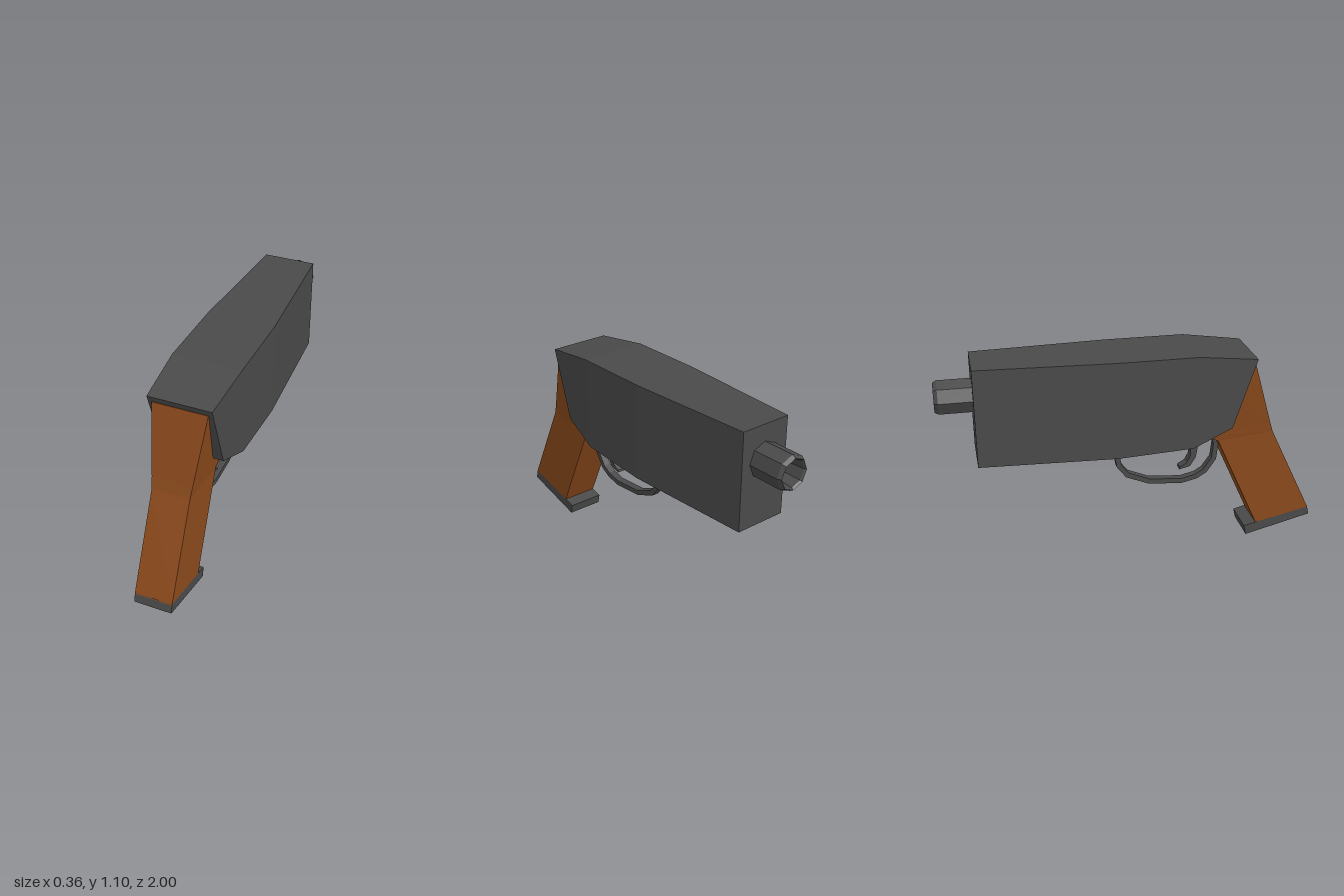
import * as THREE from 'three';

const paint = (color) => new THREE.MeshStandardMaterial({ color, flatShading: true });

// Four-sided loft; each section is [z, y of upper edge, z, y of lower edge, half width]
function loft(sections) {
  const rings = sections.map(([tz, ty, bz, by, w]) => [
    [w, ty, tz], [-w, ty, tz], [-w, by, bz], [w, by, bz],
  ]);
  const pos = [];
  const quad = (a, b, c, d) => pos.push(...a, ...b, ...c, ...a, ...c, ...d);
  for (let i = 0; i < rings.length - 1; i++) {
    for (let k = 0; k < 4; k++) {
      const n = (k + 1) % 4;
      quad(rings[i][k], rings[i + 1][k], rings[i + 1][n], rings[i][n]);
    }
  }
  quad(...rings[0]);
  quad(...[...rings[rings.length - 1]].reverse());
  const geo = new THREE.BufferGeometry();
  geo.setAttribute('position', new THREE.Float32BufferAttribute(pos, 3));
  geo.computeVertexNormals();
  return geo;
}

// Side profile of [z, y] points, extruded across x and centred
function plate(points, width) {
  const shape = new THREE.Shape(points.map(([z, y]) => new THREE.Vector2(z, y)));
  const geo = new THREE.ExtrudeGeometry(shape, { depth: width, bevelEnabled: false });
  return geo.translate(0, 0, -width / 2).rotateY(-Math.PI / 2);
}

// Outline of a band of even thickness along a path
function band(path, thickness) {
  const left = [], right = [];
  path.forEach(([z, y], i) => {
    const a = path[Math.max(i - 1, 0)], b = path[Math.min(i + 1, path.length - 1)];
    const len = Math.hypot(b[0] - a[0], b[1] - a[1]);
    const nz = -(b[1] - a[1]) / len * thickness / 2, ny = (b[0] - a[0]) / len * thickness / 2;
    left.push([z + nz, y + ny]);
    right.unshift([z - nz, y - ny]);
  });
  return [...left, ...right];
}

export function createModel() {
  const group = new THREE.Group();
  const metal = paint(0x4a4a4a), wood = paint(0x8b4a1c);
  const add = (name, geo, mat) => {
    const mesh = new THREE.Mesh(geo, mat);
    mesh.name = name;
    group.add(mesh);
    return mesh;
  };

  // Body, tapering to both ends
  add('body', loft([
    [0.63, 1.06, 0.51, 0.69, 0.165],
    [0.32, 1.1, 0.3, 0.6, 0.182],
    [-0.1, 1.1, -0.1, 0.58, 0.182],
    [-0.81, 1.1, -0.81, 0.58, 0.14],
  ]), metal);

  // Hollow eight-sided barrel with a chamfered muzzle
  const profile = [[0.092, 0.78], [0.092, 0.98], [0.08, 1.0], [0.072, 0.99], [0.06, 0.84], [0, 0.84]]
    .map(([r, y]) => new THREE.Vector2(r, y));
  const barrel = add('barrel', new THREE.LatheGeometry(profile, 8).rotateX(-Math.PI / 2), metal);
  barrel.position.y = 0.92;

  // Grip, flaring upwards into the body
  add('grip', loft([
    [0.99, 0.135, 0.69, 0.07, 0.1],
    [0.755, 0.62, 0.455, 0.59, 0.1],
    [0.735, 0.68, 0.38, 0.63, 0.106],
    [0.625, 1.03, 0.42, 0.95, 0.143],
  ]), wood);

  // Plate under the grip
  add('gripBase', loft([
    [1.0, 0.09, 0.637, 0.0, 0.1],
    [0.988, 0.14, 0.625, 0.054, 0.1],
  ]), metal);

  // Trigger guard
  add('triggerGuard', plate(band([
    [0.4, 0.62], [0.45, 0.59], [0.468, 0.54], [0.458, 0.45], [0.41, 0.38], [0.36, 0.35],
    [0.28, 0.332], [0.1, 0.347], [-0.02, 0.397], [-0.065, 0.455], [-0.09, 0.6],
  ], 0.028), 0.04), metal);

  // Curved trigger
  add('trigger', plate([
    [0.4, 0.63], [0.43, 0.57], [0.368, 0.55], [0.355, 0.47], [0.325, 0.42], [0.265, 0.405],
    [0.268, 0.418], [0.305, 0.44], [0.325, 0.48], [0.325, 0.55], [0.28, 0.62],
  ], 0.05), metal);

  return group;
}
